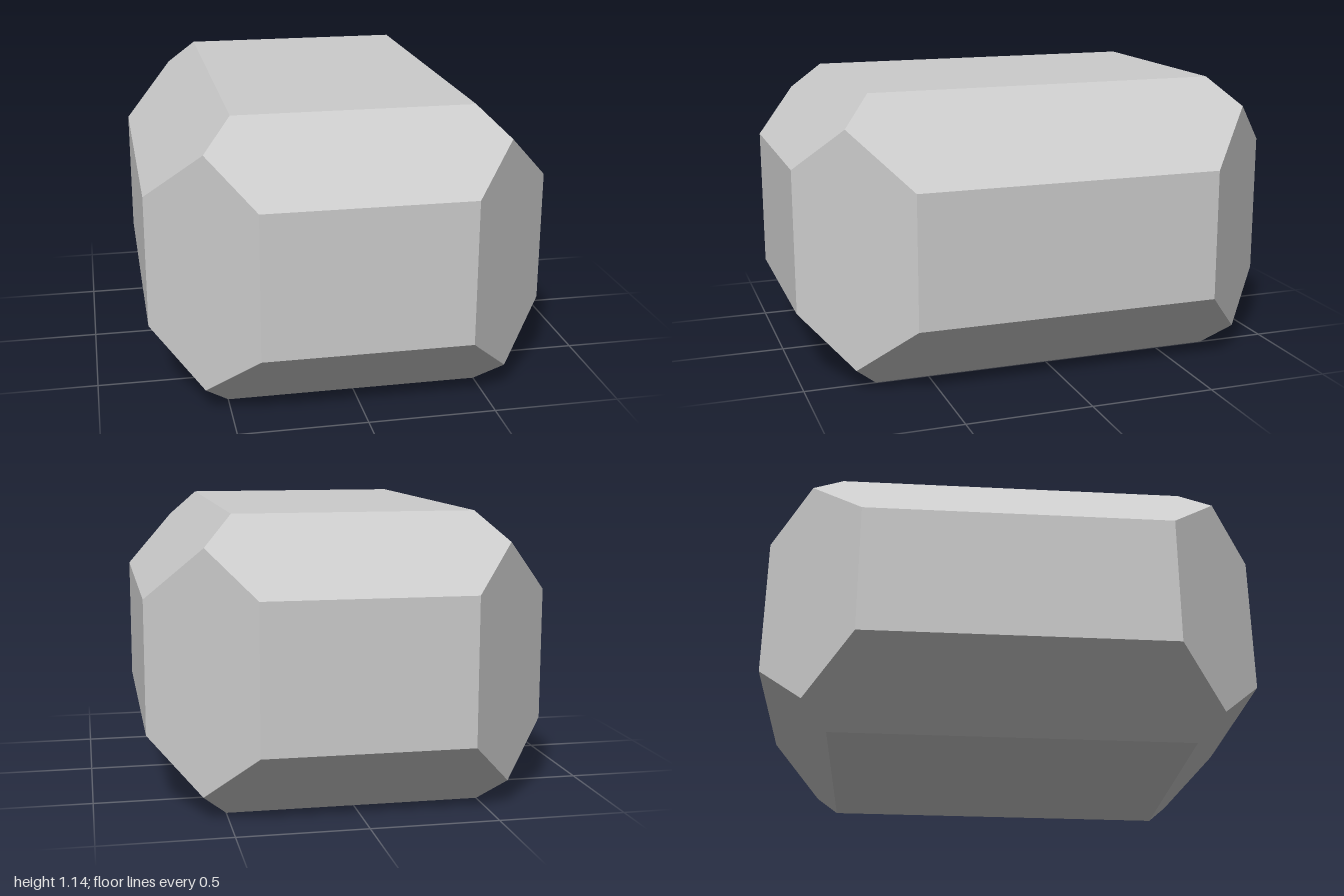
import * as THREE from 'three';
import { ConvexGeometry } from 'three/addons/geometries/ConvexGeometry.js';

// Overall box: half width, height, half length
const W = 0.793, H = 1.145, L = 1;
const MID = H / 2;

// The three 45-degree chamfers meeting at a corner are the planes
// x + z = xz, y + z = yz, x + y = xy, with y measured from mid-height.
function cornerPoints({ xz, yz, xy }) {
  return [
    [xz - L, yz - L, L],                                      // corner of the end face
    [W, xy - W, xz - W],                                      // corner of the side face
    [xy - MID, MID, yz - MID],                                // corner of the top or bottom face
    [(xz + xy - yz) / 2, (xy + yz - xz) / 2, (xz + yz - xy) / 2], // where the chamfers meet
  ];
}

export function createModel() {
  const group = new THREE.Group();
  group.name = 'chamferedBlock';

  // Top edges are cut a little deeper than the bottom ones
  const upper = cornerPoints({ xz: 1.406, yz: 1.857 - MID, xy: 1.613 - MID });
  const lower = cornerPoints({ xz: 1.406, yz: 0.715 + MID, xy: 0.5 + MID });

  // Mirror both corners to all eight
  const points = [];
  for (const [corner, sy] of [[upper, 1], [lower, -1]])
    for (const sx of [-1, 1])
      for (const sz of [-1, 1])
        for (const [x, y, z] of corner)
          points.push(new THREE.Vector3(sx * x, MID + sy * y, sz * z));

  const block = new THREE.Mesh(
    new ConvexGeometry(points),
    new THREE.MeshStandardMaterial({ color: 0xcccccc, flatShading: true })
  );
  block.name = 'block';
  group.add(block);
  return group;
}
